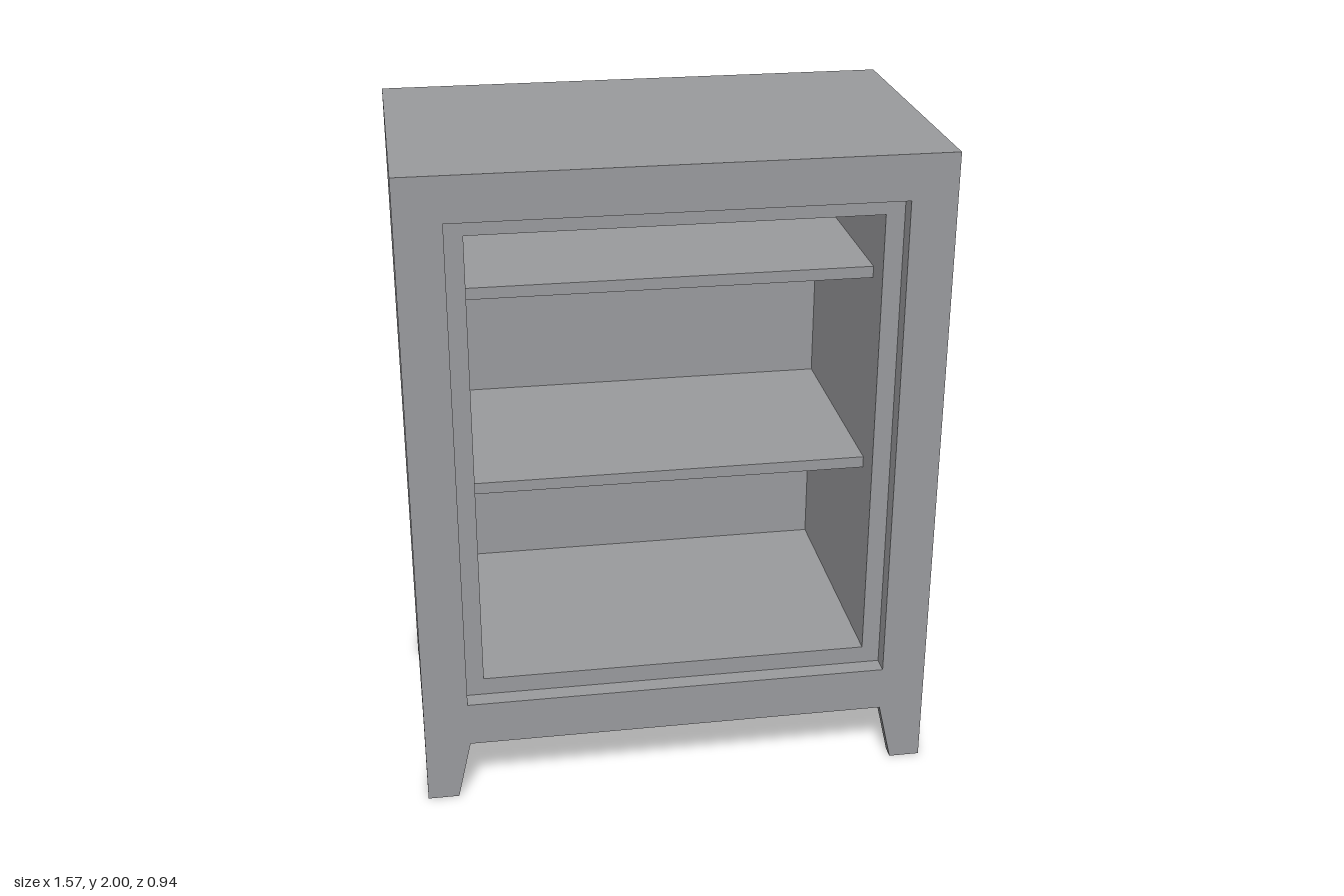
import * as THREE from 'three';

// Joins matching loops of points with flat faces and closes both ends (fan from each loop's first point)
function loft(loops, capEnd = true) {
  const pos = [];
  const tri = (a, b, c) => pos.push(...a, ...b, ...c);
  const n = loops[0].length;
  for (let k = 0; k < loops.length - 1; k++) {
    const a = loops[k], b = loops[k + 1];
    for (let i = 0; i < n; i++) {
      const j = (i + 1) % n;
      tri(a[i], a[j], b[j]);
      tri(a[i], b[j], b[i]);
    }
  }
  const first = loops[0], last = loops[loops.length - 1];
  for (let i = 1; i < n - 1; i++) {
    tri(first[0], first[i + 1], first[i]);
    if (capEnd) tri(last[0], last[i], last[i + 1]);
  }
  const geometry = new THREE.BufferGeometry();
  geometry.setAttribute('position', new THREE.Float32BufferAttribute(pos, 3));
  geometry.computeVertexNormals();
  return geometry;
}

export function createModel() {
  const group = new THREE.Group();
  const grey = new THREE.MeshStandardMaterial({ color: 0x9a9b9e });
  grey.name = 'cabinetGrey';

  const add = (name, geometry) => {
    const mesh = new THREE.Mesh(geometry, grey);
    mesh.name = name;
    group.add(mesh);
    return mesh;
  };

  const W = 0.785, D = 0.47, base = 0.19;
  const rebateZ = 0.415, backZ = -0.375, innerW = 0.595;

  // Cabinet body: outer shell, door rebate and recessed interior
  const rect = (w, y0, y1, z) => [[-w, y0, z], [w, y0, z], [w, y1, z], [-w, y1, z]];
  add('cabinetBody', loft([
    rect(W, base, 2, -D),
    rect(W, base, 2, D),
    rect(0.65, 0.33, 1.865, D),
    rect(0.65, 0.33, 1.865, rebateZ),
    rect(innerW, 0.385, 1.81, rebateZ),
    rect(innerW, 0.385, 1.81, backZ),
  ]));

  // Shelves, set back from the opening
  const shelfFront = 0.315, shelfT = 0.035;
  for (const [name, top] of [['upperShelf', 1.62], ['middleShelf', 1.003]]) {
    const shelf = add(name, new THREE.BoxGeometry(innerW * 2, shelfT, shelfFront - backZ));
    shelf.position.set(0, top - shelfT / 2, (shelfFront + backZ) / 2);
  }

  // Tapered corner legs with an L-shaped section
  const t = 0.04;
  const legLoop = (sx, sz, w, y) => {
    const [inner, ...rest] = [
      [W - t, D - t], [W - w, D - t], [W - w, D], [W, D], [W, D - w], [W - t, D - w],
    ].map(([x, z]) => [sx * x, y, sz * z]);
    return [inner, ...(sx * sz < 0 ? rest.reverse() : rest)];
  };
  for (const sx of [-1, 1]) {
    for (const sz of [-1, 1]) {
      const name = (sz > 0 ? 'front' : 'back') + (sx > 0 ? 'Left' : 'Right') + 'Leg';
      add(name, loft([legLoop(sx, sz, 0.095, 0), legLoop(sx, sz, 0.138, base)], false));
    }
  }

  return group;
}
